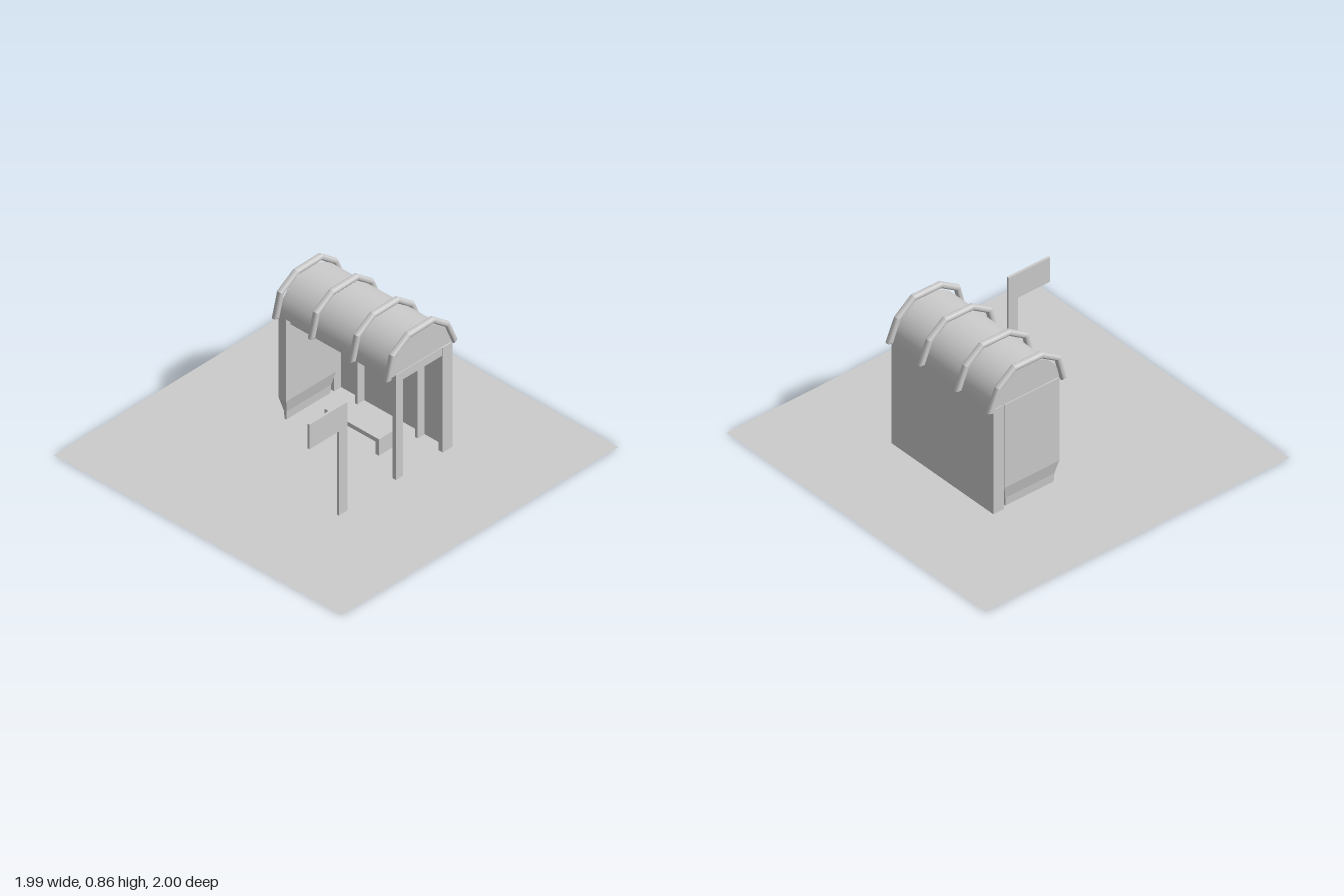
import * as THREE from 'three';

const mat = new THREE.MeshStandardMaterial({ color: 0xcccccc, side: THREE.DoubleSide });

export function createModel() {
  const model = new THREE.Group();

  const add = (name, geometry) => {
    const mesh = new THREE.Mesh(geometry, mat);
    mesh.name = name;
    model.add(mesh);
    return mesh;
  };
  // Box given by its minimum and maximum on each axis
  const box = (name, x0, x1, y0, y1, z0, z1) =>
    add(name, new THREE.BoxGeometry(x1 - x0, y1 - y0, z1 - z0)
      .translate((x0 + x1) / 2, (y0 + y1) / 2, (z0 + z1) / 2));

  // Ground: a thin, slightly skewed sheet (shape y becomes -z)
  const ground = new THREE.Shape([[-0.985, -1], [0.99, -0.985], [0.985, 1], [-0.995, 0.99]]
    .map(([x, y]) => new THREE.Vector2(x, y)));
  add('ground', new THREE.ShapeGeometry(ground).rotateX(-Math.PI / 2));

  // Back wall: panel with upright ribs on its inner side
  box('backPanel', -0.395, 0.39, 0, 0.64, -0.43, -0.41);
  for (const [x0, x1] of [[-0.395, -0.36], [-0.217, -0.2], [0.2, 0.217], [0.36, 0.39]]) {
    box('backRib', x0, x1, 0, 0.64, -0.41, -0.36);
  }
  box('backBeam', -0.36, 0.36, 0.59, 0.64, -0.41, -0.36);

  // Open side and front frame
  box('frontPost', 0.36, 0.385, 0, 0.64, -0.08, -0.03);
  box('frontBeam', -0.35, 0.36, 0.59, 0.64, -0.08, -0.03);
  box('sideBeam', 0.36, 0.385, 0.59, 0.64, -0.36, -0.08);

  // Closed side wall, narrowing to a small foot at the bottom
  const wall = new THREE.BoxGeometry(1, 1, 1, 1, 3, 1);
  const levels = [
    [0, 0.013, 0.315], [0.05, 0.018, 0.32], [0.13, 0.052, 0.358], [0.64, 0.052, 0.358],
  ];
  const p = wall.attributes.position;
  for (let i = 0; i < p.count; i++) {
    const [y, w, d] = levels[Math.round((p.getY(i) + 0.5) * 3)];
    p.setXYZ(i, -0.371 + p.getX(i) * w, y, -0.18 + p.getZ(i) * d);
  }
  const flatWall = wall.toNonIndexed();
  flatWall.computeVertexNormals();
  add('sideWall', flatWall);

  // Barrel roof with closed ends; profile x becomes -z
  const roof = new THREE.Shape();
  roof.moveTo(0.43, 0.635);
  roof.absellipse(0.215, 0.635, 0.217, 0.19, 0, Math.PI, false);
  roof.closePath();
  add('roof', new THREE.ExtrudeGeometry(roof, { depth: 0.77, bevelEnabled: false, curveSegments: 28 })
    .rotateY(Math.PI / 2).translate(-0.39, 0, 0));

  // Rounded arches over the roof: a thin ribbon fattened by its bevel
  const path = [[-0.021, 0.641], [0.012, 0.768], [0.122, 0.838], [0.297, 0.841], [0.4, 0.762], [0.45, 0.645]]
    .map(([x, y]) => new THREE.Vector2(x, y));
  const offset = (r) => path.map((pt, i) => {
    const a = path[Math.max(i - 1, 0)], b = path[Math.min(i + 1, path.length - 1)];
    const t = b.clone().sub(a).normalize();
    return new THREE.Vector2(pt.x - t.y * r, pt.y + t.x * r);
  });
  const ribbon = new THREE.Shape([...offset(0.002), ...offset(-0.002).reverse()]);
  const arch = new THREE.ExtrudeGeometry(ribbon, {
    depth: 0.008, bevelSize: 0.014, bevelThickness: 0.014, bevelSegments: 4,
  }).rotateY(Math.PI / 2).translate(-0.004, 0, 0);
  for (const x of [-0.395, -0.147, 0.134, 0.378]) add('roofArch', arch).position.x = x;

  // Bench
  box('benchSeat', -0.18, 0.195, 0.09, 0.115, -0.21, -0.105);
  box('benchLeg', -0.18, -0.155, 0.015, 0.09, -0.21, -0.105);
  box('benchLeg', 0.17, 0.195, 0.015, 0.09, -0.21, -0.105);

  // Stop sign: post and panel, cut from one thin board
  box('signPost', 0.378, 0.392, 0, 0.665, 0.325, 0.385);
  box('signPanel', 0.378, 0.392, 0.515, 0.665, 0.385, 0.595);

  return model;
}
